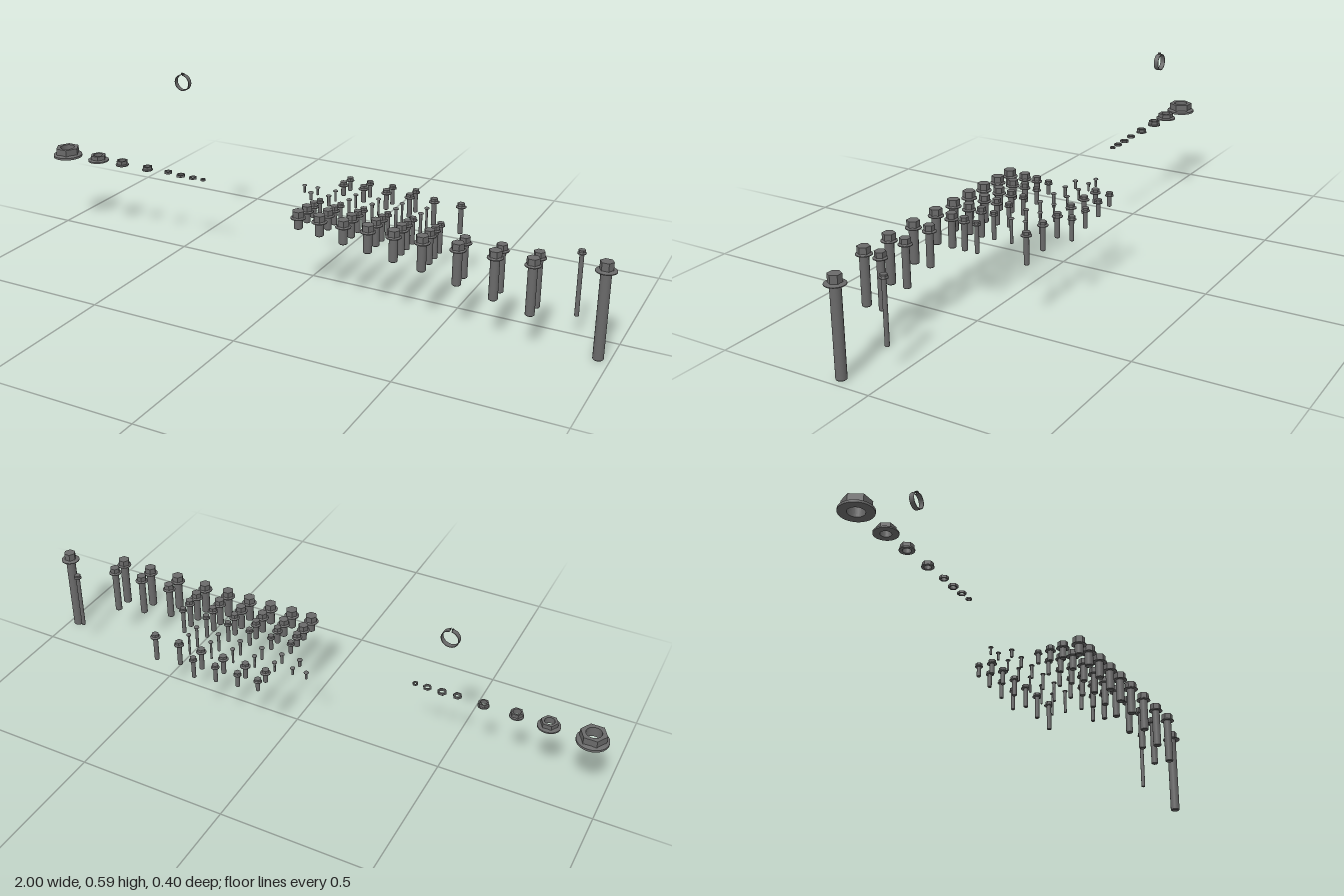
import * as THREE from 'three';

const steel = new THREE.MeshStandardMaterial({ color: 0x6a6a6a });
steel.name = 'dark steel';
const thinSteel = new THREE.MeshStandardMaterial({ color: 0x6a6a6a, side: THREE.DoubleSide });
thinSteel.name = 'thin dark steel';

const SEAT = 0.274; // height of the underside of every bolt head
const v = (x, y) => new THREE.Vector2(x, y);

function add(parent, name, geometry, x = 0, y = 0, z = 0, material = steel) {
  const mesh = new THREE.Mesh(geometry, material);
  mesh.name = name;
  mesh.position.set(x, y, z);
  parent.add(mesh);
  return mesh;
}

// Lathe with every profile segment separate, so its edges stay sharp
function turned(parent, name, points, y, segments = 24) {
  for (let i = 0; i < points.length - 1; i++) {
    add(parent, name, new THREE.LatheGeometry([points[i], points[i + 1]], segments), 0, y, 0);
  }
}

// Hexagon with corners on the x axis; flats is the distance across flats
function hexShape(flats, hole) {
  const r = flats / Math.sqrt(3);
  const shape = new THREE.Shape();
  for (let i = 0; i < 6; i++) {
    const a = (i * Math.PI) / 3;
    shape[i ? 'lineTo' : 'moveTo'](r * Math.cos(a), r * Math.sin(a));
  }
  shape.closePath();
  if (hole) shape.holes.push(new THREE.Path().absarc(0, 0, hole, 0, Math.PI * 2, true));
  return shape;
}

function hexPrism(flats, height, hole = 0) {
  const g = new THREE.ExtrudeGeometry(hexShape(flats, hole), { depth: height, bevelEnabled: false, curveSegments: 20 });
  return g.rotateX(-Math.PI / 2);
}

// Shaft with a chamfered tip
function shaft(parent, radius, bottom) {
  const c = radius * 0.18;
  turned(parent, 'shaft', [v(0, bottom), v(radius - c, bottom), v(radius, bottom + c), v(radius, SEAT + 0.001)], 0, 20);
}

function flangeBolt(x, z, { r, flange, flats, top }, bottom) {
  const bolt = new THREE.Group();
  bolt.name = 'flangeBolt';
  bolt.position.set(x, 0, z);
  shaft(bolt, r, bottom);
  turned(bolt, 'flange', [v(r * 0.9, 0), v(flange, 0), v(flange, 0.0025), v(flats * 0.5, 0.006), v(0, 0.006)], SEAT);
  add(bolt, 'hexHead', hexPrism(flats, top - SEAT - 0.004), 0, SEAT + 0.004, 0);
  return bolt;
}

function domeScrew(x, z, { r, head }, bottom) {
  const screw = new THREE.Group();
  screw.name = 'domeScrew';
  screw.position.set(x, 0, z);
  shaft(screw, r, bottom);
  turned(screw, 'headBase', [v(r * 0.9, 0), v(head, 0), v(head, 0.0015)], SEAT, 16);
  const dome = [0, 1, 2, 3, 4].map((i) => {
    const a = (i / 4) * (Math.PI / 2);
    return v(i === 4 ? 0 : head * Math.cos(a), 0.0015 + 0.0035 * Math.sin(a));
  });
  add(screw, 'domeHead', new THREE.LatheGeometry(dome, 16), 0, SEAT, 0);
  return screw;
}

function nut(x, z, flats, hole, flange, base, top) {
  const group = new THREE.Group();
  group.name = flange ? 'flangeNut' : 'hexNut';
  group.position.set(x, base, z);
  if (flange) {
    const h = (top - base) * 0.22;
    turned(group, 'flange', [v(hole, 0), v(flange, 0), v(flange, h), v(flats * 0.5, h * 1.6), v(hole, h * 1.6)], 0, 32);
  }
  add(group, 'hexBody', hexPrism(flats, top - base, hole), 0, 0, 0);
  return group;
}

// Thin sprung band with two short ears at the top
function bandClamp(x, y, z) {
  const clamp = new THREE.Group();
  clamp.name = 'bandClamp';
  clamp.position.set(x, y, z);
  const gap = 0.12;
  const band = new THREE.Shape();
  const start = Math.PI / 2 + gap;
  const end = Math.PI / 2 - gap + Math.PI * 2;
  band.absarc(0, 0, 0.0275, start, end, false);
  band.absarc(0, 0, 0.0255, end, start, true);
  const g = new THREE.ExtrudeGeometry(band, { depth: 0.016, bevelEnabled: false, curveSegments: 40 });
  add(clamp, 'band', g.translate(0, 0, -0.008), 0, 0, 0, thinSteel);
  for (const s of [-1, 1]) {
    add(clamp, 'ear', new THREE.BoxGeometry(0.0015, 0.006, 0.008), s * 0.003, 0.0295, 0);
  }
  return clamp;
}

export function createModel() {
  const model = new THREE.Group();
  model.name = 'fastenerSet';

  // Columns run from short to long bolts
  const columns = [0.04, 0.112, 0.192, 0.273, 0.356, 0.446, 0.556, 0.668, 0.778];
  const bottoms = [0.24, 0.23, 0.22, 0.208, 0.197, 0.186, 0.165, 0.144, 0.121];

  // Flange bolt rows
  const fine = { r: 0.0068, flange: 0.013, flats: 0.019, top: 0.286 };
  const rows = [
    { z: 0.174, count: 9, size: { r: 0.0138, flange: 0.024, flats: 0.034, top: 0.299 } },
    { z: 0.118, count: 9, size: { r: 0.0115, flange: 0.021, flats: 0.029, top: 0.296 } },
    { z: 0.074, count: 6, size: { r: 0.0092, flange: 0.017, flats: 0.023, top: 0.292 } },
    { z: 0.031, count: 6, size: fine },
    { z: -0.137, count: 6, size: { r: 0.008, flange: 0.0165, flats: 0.0215, top: 0.288 } },
    { z: -0.186, count: 4, size: fine },
  ];
  for (const { z, count, size } of rows) {
    for (let i = 0; i < count; i++) model.add(flangeBolt(columns[i], z, size, bottoms[i]));
  }

  // Two extra long bolts
  model.add(flangeBolt(0.875, 0.031, fine, 0.077));
  model.add(flangeBolt(0.967, 0.115, { r: 0.016, flange: 0.031, flats: 0.035, top: 0.304 }, 0));

  // Dome screw rows, with the shortest ones off to the side
  const screwRows = [
    { z: -0.03, size: { r: 0.005, head: 0.009 }, extra: [-0.024] },
    { z: -0.078, size: { r: 0.0037, head: 0.008 }, extra: [-0.024, -0.072] },
  ];
  for (const { z, size, extra } of screwRows) {
    for (let i = 0; i < 5; i++) model.add(domeScrew(columns[i], z, size, bottoms[i]));
    for (const x of extra) model.add(domeScrew(x, z, size, 0.25));
  }

  // Nuts from large to small: x, flats, hole, flange, base, top
  const nuts = [
    [-0.951, 0.071, 0.024, 0.049, 0.265, 0.298],
    [-0.819, 0.046, 0.0155, 0.035, 0.27, 0.291],
    [-0.719, 0.034, 0.0125, 0.022, 0.27, 0.288],
    [-0.615, 0.029, 0.0105, 0.018, 0.27, 0.284],
    [-0.531, 0.024, 0.0085, 0, 0.273, 0.281],
    [-0.481, 0.026, 0.0095, 0, 0.27, 0.278],
    [-0.433, 0.024, 0.0085, 0, 0.271, 0.277],
    [-0.393, 0.016, 0.0055, 0, 0.271, 0.277],
  ];
  for (const [x, flats, hole, flange, base, top] of nuts) model.add(nut(x, 0.03, flats, hole, flange, base, top));

  model.add(bandClamp(-0.528, 0.561, -0.075));
  return model;
}
